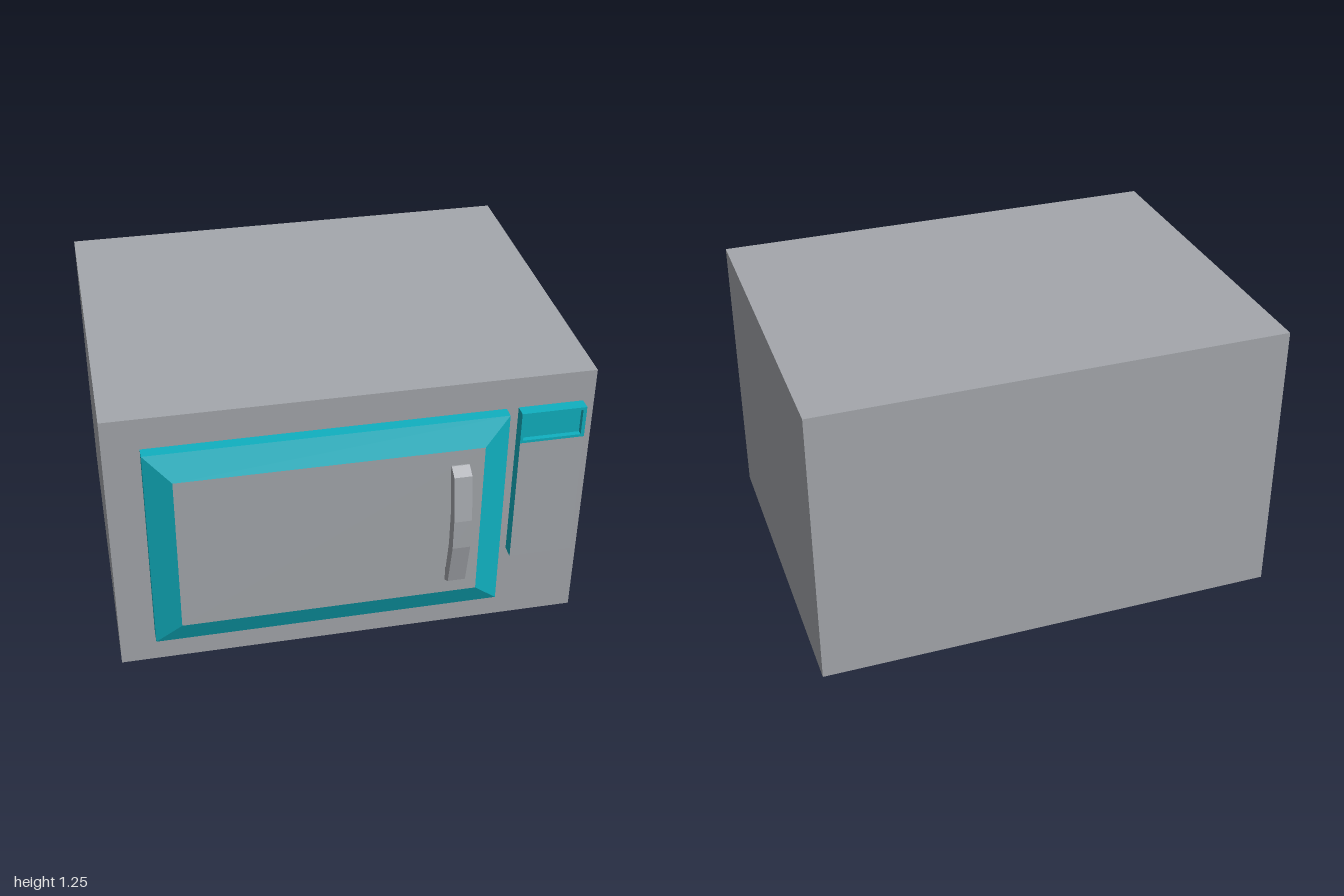
import * as THREE from 'three';

export function createModel() {
  const model = new THREE.Group();
  model.name = 'microwave';
  const grey = new THREE.MeshStandardMaterial({ name: 'metal grey', color: 0xa4a7ac });
  const teal = new THREE.MeshStandardMaterial({ name: 'teal trim', color: 0x10b0c0 });
  // Box face order: +x, -x, +y, -y, +z, -z; only the front is grey
  const greyFront = [teal, teal, teal, teal, grey, teal];

  const add = (name, geometry, material) => {
    const mesh = new THREE.Mesh(geometry, material);
    mesh.name = name;
    model.add(mesh);
    return mesh;
  };
  // Box given by its limits on each axis
  const box = (x0, x1, y0, y1, z0, z1) =>
    new THREE.BoxGeometry(x1 - x0, y1 - y0, z1 - z0)
      .translate((x0 + x1) / 2, (y0 + y1) / 2, (z0 + z1) / 2);
  const rect = (Type, x0, x1, y0, y1) => new Type([
    [x0, y0], [x1, y0], [x1, y1], [x0, y1],
  ].map(([x, y]) => new THREE.Vector2(x, y)));

  // Casing, tipped very slightly forward
  const casing = add('casing', new THREE.BoxGeometry(2, 1.235, 1.537), grey);
  casing.position.set(0, 0.624, -0.09);
  casing.rotation.x = 0.009;

  // Door: straight rim, then a bevel narrowing to the grey front
  add('doorRim', box(-0.85, 0.63, 0.146, 1.094, 0.67, 0.734), teal);
  const bevel = new THREE.BoxGeometry(1.48, 0.948, 0.046);
  const p = bevel.attributes.position;
  for (let i = 0; i < p.count; i++) {
    if (p.getZ(i) > 0) {
      p.setX(i, Math.sign(p.getX(i)) * 0.63);
      p.setY(i, Math.sign(p.getY(i)) * 0.364);
    }
  }
  bevel.computeVertexNormals();
  bevel.translate(-0.11, 0.62, 0.757);
  add('doorFront', bevel, greyFront);

  // Bent door handle, a side profile (z, y) extruded across x
  const profile = new THREE.Shape([
    [0.775, 0.325], [0.785, 0.325], [0.826, 0.352], [0.865, 0.555], [0.865, 0.69],
    [0.83, 0.887], [0.785, 0.914], [0.775, 0.914], [0.775, 0.87], [0.785, 0.87],
    [0.811, 0.69], [0.811, 0.545], [0.785, 0.39], [0.775, 0.39],
  ].map(([z, y]) => new THREE.Vector2(z, y)));
  const handle = new THREE.ExtrudeGeometry(profile, { depth: 0.075, bevelEnabled: false });
  handle.rotateY(-Math.PI / 2).translate(0.456, 0, 0);
  add('handle', handle, grey);

  // Control panel with a recessed display at the top
  add('controlPanel', box(0.68, 0.953, 0.367, 0.952, 0.67, 0.734), greyFront);
  const frame = rect(THREE.Shape, 0.68, 0.953, 0.952, 1.094);
  frame.holes.push(rect(THREE.Path, 0.692, 0.938, 0.964, 1.082));
  add('displayFrame', new THREE.ExtrudeGeometry(frame, { depth: 0.064, bevelEnabled: false })
    .translate(0, 0, 0.67), teal);
  add('display', box(0.69, 0.94, 0.962, 1.084, 0.67, 0.712), teal);

  return model;
}
